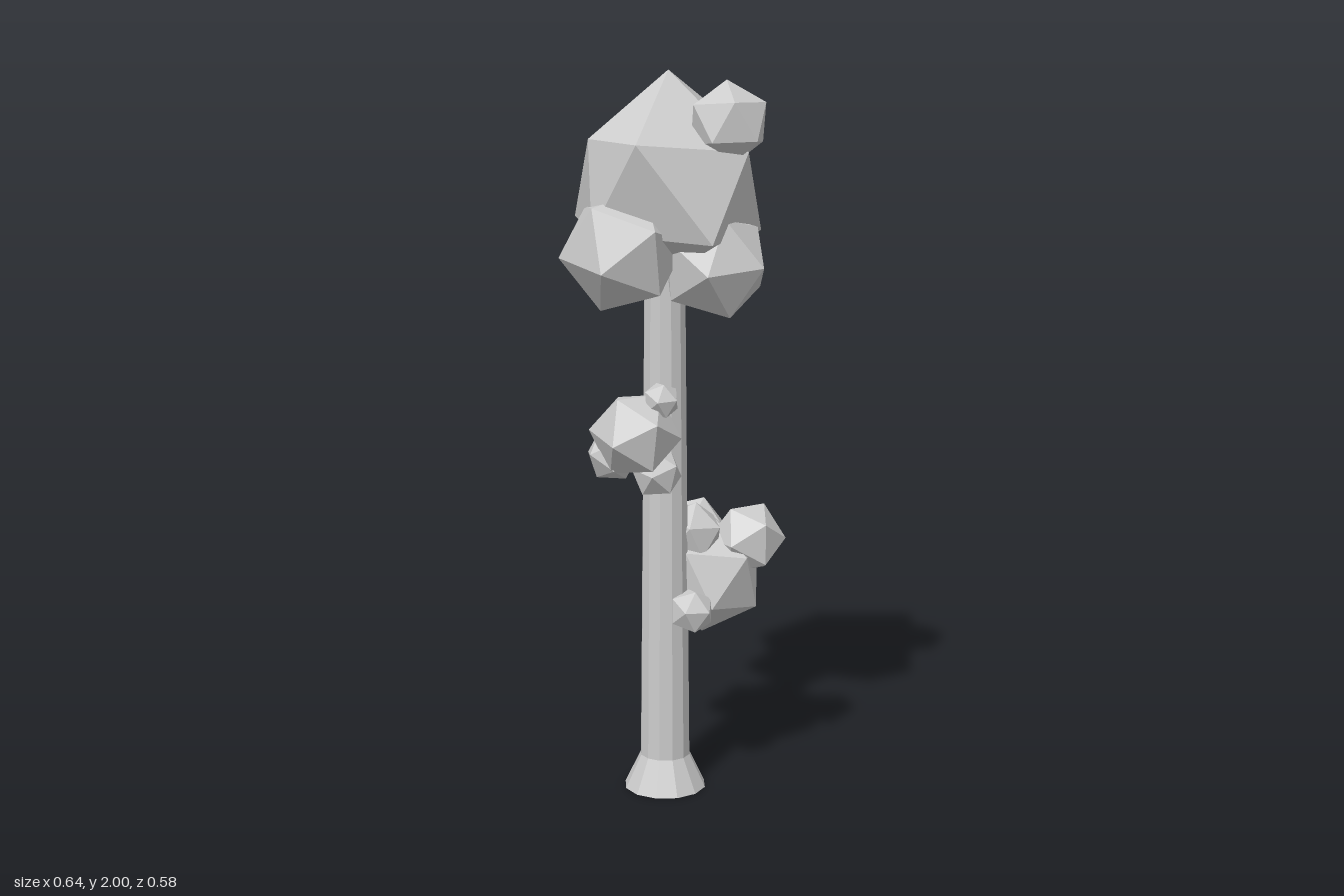
import * as THREE from 'three';
import { ConvexGeometry } from 'three/addons/geometries/ConvexGeometry.js';

const material = new THREE.MeshStandardMaterial({ color: 0xcccccc, flatShading: true });

// Twenty-sided leaf clump with one corner pointing along tip, turned by spin about it
function clump(name, [x, y, z], radius, tip = [0, 1, 0], spin = 0) {
  const geometry = new THREE.IcosahedronGeometry(radius, 0);
  const corner = new THREE.Vector3(-1, (1 + Math.sqrt(5)) / 2, 0).normalize();
  const axis = new THREE.Vector3(...tip).normalize();
  const mesh = new THREE.Mesh(geometry, material);
  mesh.name = name;
  mesh.position.set(x, y, z);
  mesh.quaternion.setFromUnitVectors(corner, axis);
  mesh.quaternion.premultiply(new THREE.Quaternion().setFromAxisAngle(axis, spin));
  return mesh;
}

function cluster(name, ...parts) {
  const group = new THREE.Group();
  group.name = name;
  group.add(...parts);
  return group;
}

export function createModel() {
  const tree = new THREE.Group();
  tree.name = 'tree';

  // Trunk with a flared foot
  const profile = [[0, 0], [0.115, 0], [0.07, 0.095], [0.057, 1.4], [0.055, 1.55], [0, 1.55]];
  const trunk = new THREE.Mesh(
    new THREE.LatheGeometry(profile.map(([r, y]) => new THREE.Vector2(r, y)), 12), material);
  trunk.name = 'trunk';
  trunk.position.set(-0.007, 0, -0.004);
  tree.add(trunk);

  // Large uneven crown: apex, upper ring, lower ring, bottom
  const crownCorners = [
    [0.03, 2, -0.025],
    [0.265, 1.83, 0.025], [0.1, 1.79, -0.23], [-0.21, 1.83, -0.09], [-0.24, 1.83, 0.11], [0.04, 1.8, 0.25],
    [0.21, 1.57, 0.15], [0.165, 1.58, -0.2], [-0.085, 1.6, -0.265], [-0.25, 1.59, -0.04], [-0.1, 1.57, 0.25],
    [0, 1.43, 0],
  ].map((p) => new THREE.Vector3(...p));
  const crown = new THREE.Mesh(new ConvexGeometry(crownCorners), material);
  crown.name = 'crown';

  tree.add(cluster('crownFoliage',
    crown,
    clump('crownTopClump', [0.03, 1.872, 0.188], 0.113, [0.05, 1, -0.1], 0.3),
    clump('crownFrontClump', [0.02, 1.5, 0.15], 0.155, [0.15, 0, 1], 0.3),
    clump('crownRightClump', [-0.165, 1.54, -0.01], 0.17, [-0.9, -0.25, 0.4], 0.5),
    clump('crownBackClump', [0.115, 1.535, -0.13], 0.178, [1, 0.2, 0.1], 0.15)));

  // Foliage on the lower left of the trunk
  tree.add(cluster('lowerFoliage',
    clump('lowerMainClump', [0.145, 0.59, 0.02], 0.163, [-0.15, -1, 0], 0.4),
    clump('lowerFrontClump', [0.22, 0.695, 0.1], 0.108, [1, 0, -0.3], 0.2),
    clump('lowerBackClump', [0.2, 0.68, -0.09], 0.108, [1, 0.2, 0.2], 0.5),
    clump('lowerTopClump', [0.085, 0.72, 0.01], 0.092, [0.3, 0.3, 1], 0.2),
    clump('lowerSmallClump', [0, 0.53, 0.09], 0.065, [0, 0.1, 1], 0)));

  // Foliage higher on the right of the trunk
  tree.add(cluster('upperFoliage',
    clump('upperMainClump', [-0.15, 1.045, 0.02], 0.125, [-0.3, 0.4, 1], 0.3),
    clump('upperTopClump', [-0.112, 1.14, 0.08], 0.052, [0.1, 0.1, 1], 0.2),
    clump('upperBottomClump', [-0.115, 0.94, 0.065], 0.072, [0.1, 0.4, 1], 0.5),
    clump('upperBackClump', [-0.165, 0.98, -0.05], 0.075, [-0.3, 0, -1], 0.3),
    clump('upperInnerClump', [-0.08, 1, -0.083], 0.064, [0.3, 0.1, -1], 0.1)));

  return tree;
}
